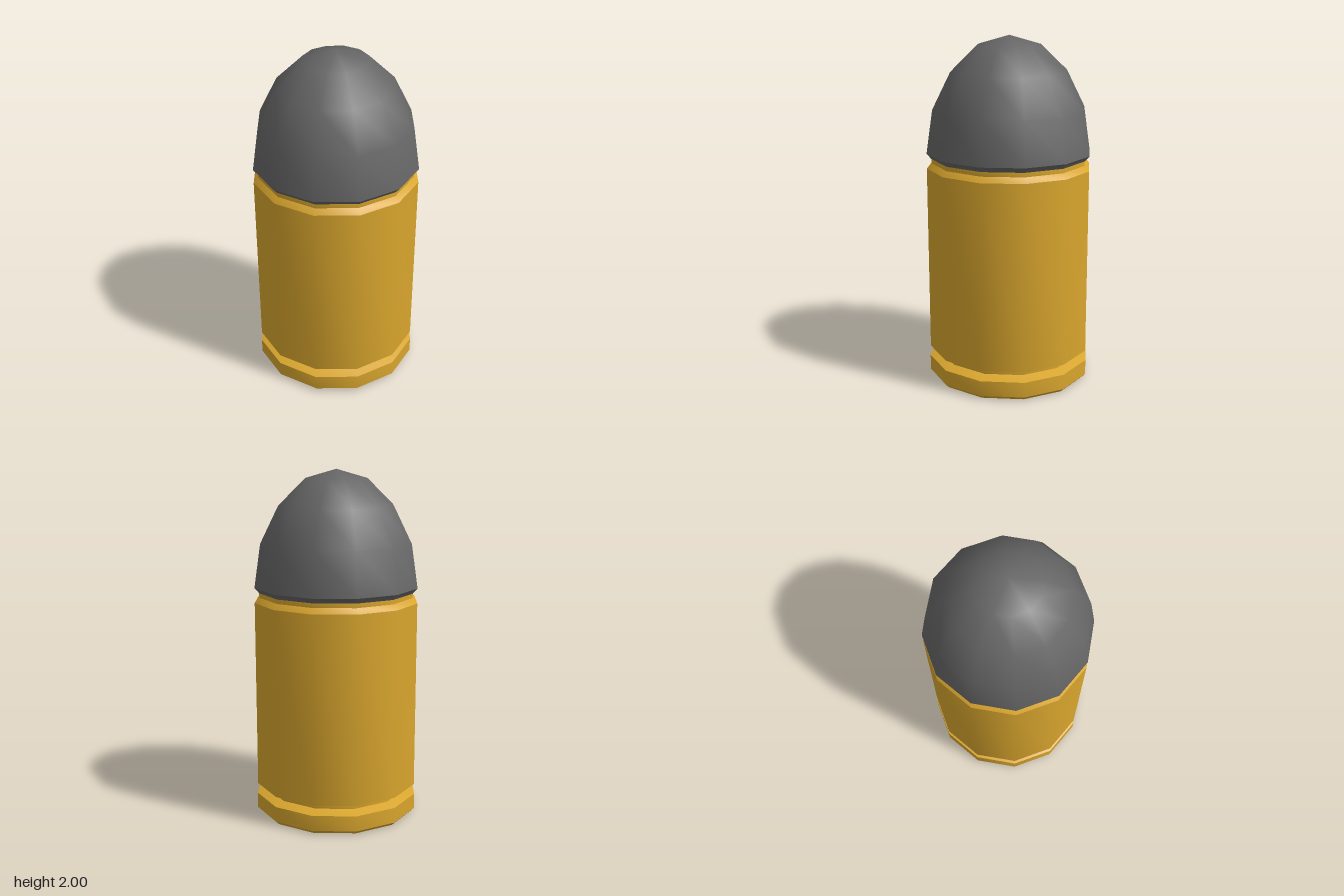
import * as THREE from 'three';
import { toCreasedNormals } from 'three/addons/utils/BufferGeometryUtils.js';

const SIDES = 12;

// Turned part: [radius, height] profile from bottom to top, sharp edges kept
function turned(name, profile, material) {
  const points = profile.map(([r, y]) => new THREE.Vector2(r, y));
  const geometry = toCreasedNormals(new THREE.LatheGeometry(points, SIDES), 0.6);
  const mesh = new THREE.Mesh(geometry, material);
  mesh.name = name;
  return mesh;
}

export function createModel() {
  const brass = new THREE.MeshStandardMaterial({ color: 0xd9a62e });
  brass.name = 'brass';
  const lead = new THREE.MeshStandardMaterial({ color: 0x666666 });
  lead.name = 'lead grey';

  const group = new THREE.Group();
  group.name = 'cartridge';

  // Casing: rim, extractor groove, straight wall and crimped mouth
  group.add(turned('casing', [
    [0, 0], [0.46, 0], [0.48, 0.02], [0.48, 0.11], [0.42, 0.13],
    [0.42, 0.15], [0.477, 0.17], [0.477, 1.255], [0.45, 1.285],
    [0.45, 1.31], [0.4, 1.31],
  ], brass));

  // Rounded tip, seated in the mouth of the casing
  group.add(turned('tip', [
    [0.447, 1.29], [0.45, 1.31], [0.477, 1.34], [0.44, 1.59],
    [0.335, 1.8], [0.183, 1.947], [0, 2],
  ], lead));

  return group;
}
